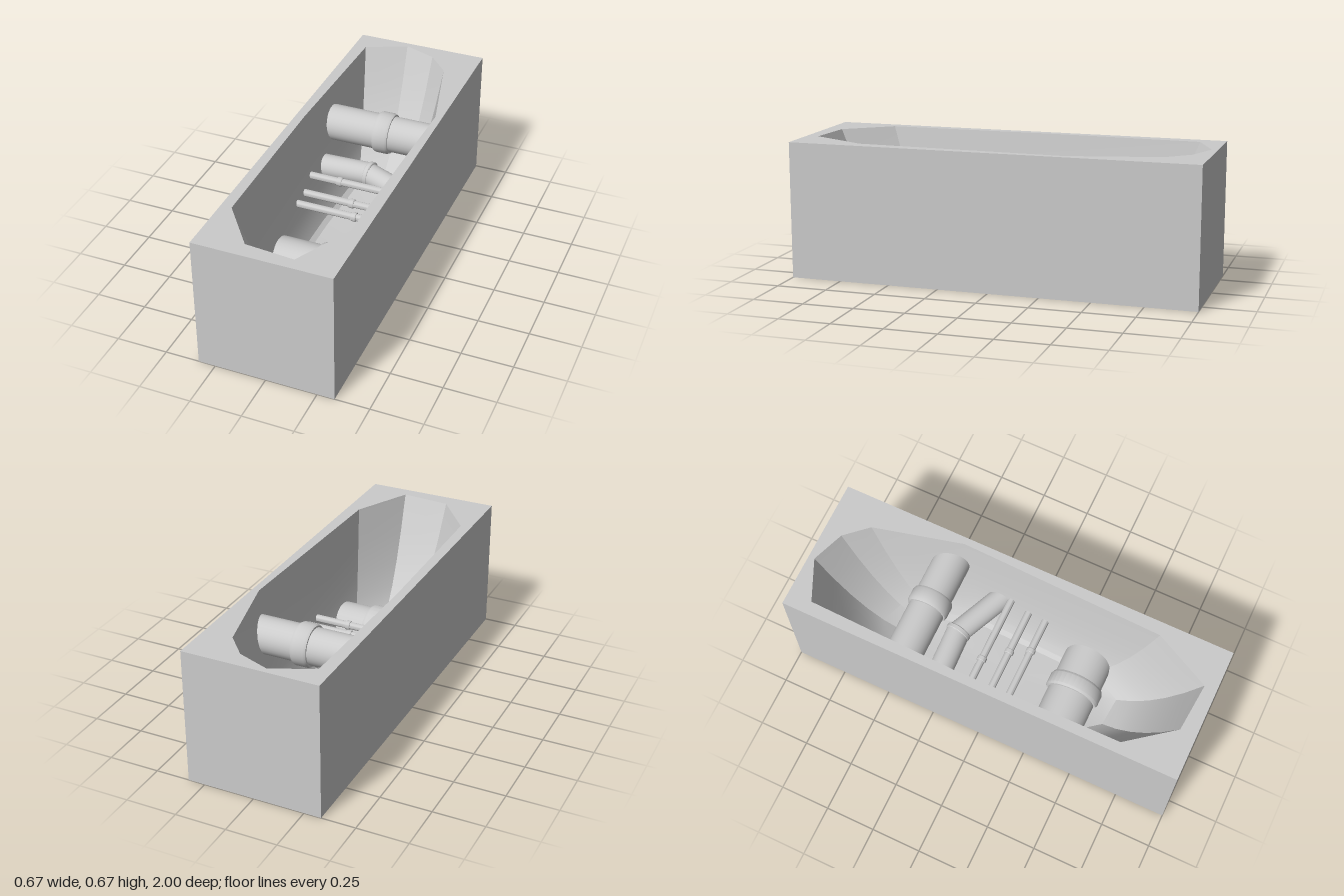
import * as THREE from 'three';
import { toCreasedNormals } from 'three/addons/utils/BufferGeometryUtils.js';

const W = 0.667, H = 0.67, L = 2, FLOOR = 0.1;

// Outline of the pit at ground level as [x, z]
const RIM = [
  [-0.27, -0.88], [-0.07, -0.97], [0.09, -0.91], [0.19, -0.8], [0.3, -0.36],
  [0.27, 0.66], [0.13, 0.94], [-0.11, 0.92], [-0.28, 0.7], [-0.29, -0.12],
];

function material() {
  return new THREE.MeshStandardMaterial({ color: 0xcccccc, side: THREE.DoubleSide });
}

function addMesh(group, name, geometry) {
  const mesh = new THREE.Mesh(geometry, material());
  mesh.name = name;
  group.add(mesh);
  return mesh;
}

// Bowl: the outline shrinks towards the floor while the height falls as a parabola
function pitGeometry() {
  const steps = 6, n = RIM.length, positions = [];
  const point = (i, j) => {
    const t = i / steps, s = 0.52 + 0.48 * t, [x, z] = RIM[j % n];
    return [x * s, FLOOR + (H - FLOOR) * t * t, z * s];
  };
  for (let j = 0; j < n; j++) {
    positions.push(0, FLOOR, 0, ...point(0, j + 1), ...point(0, j));
    for (let i = 0; i < steps; i++) {
      const a = point(i, j), b = point(i, j + 1), c = point(i + 1, j + 1), d = point(i + 1, j);
      positions.push(...a, ...b, ...c, ...a, ...c, ...d);
    }
  }
  const geometry = new THREE.BufferGeometry();
  geometry.setAttribute('position', new THREE.Float32BufferAttribute(positions, 3));
  return toCreasedNormals(geometry, 0.35);
}

// Turned part along x; a half one keeps only its upper side
function turned(profile, half = false) {
  const points = profile.map(([r, x]) => new THREE.Vector2(r, x));
  const lathe = new THREE.LatheGeometry(points, half ? 16 : 32, half ? Math.PI : 0, half ? Math.PI : Math.PI * 2);
  lathe.rotateZ(-Math.PI / 2);
  return toCreasedNormals(lathe, 0.5);
}

const tube = (r, x0, x1, half) => turned([[r, x0], [r, x1]], half);

// Sleeve with bevelled ends around a pipe of radius r
function sleeve(r, width, rise, half) {
  const w = width / 2, b = width * 0.15;
  return turned([[r, -w], [r + rise * 0.6, -w], [r + rise, -w + b], [r + rise, w - b], [r + rise * 0.6, w], [r, w]], half);
}

export function createModel() {
  const model = new THREE.Group();

  // Ground surface with the pit cut out
  const ground = new THREE.Shape();
  ground.moveTo(-W / 2, -L / 2).lineTo(W / 2, -L / 2).lineTo(W / 2, L / 2).lineTo(-W / 2, L / 2).closePath();
  ground.holes.push(new THREE.Path(RIM.map(([x, z]) => new THREE.Vector2(x, -z))));
  const top = new THREE.ShapeGeometry(ground);
  top.rotateX(-Math.PI / 2);
  top.translate(0, H, 0);
  addMesh(model, 'groundSurface', top);

  // Block sides, open underneath
  for (let i = 0; i < 4; i++) {
    const end = i % 2 === 0;
    const side = new THREE.PlaneGeometry(end ? W : L, H);
    side.translate(0, H / 2, end ? L / 2 : W / 2);
    side.rotateY(i * Math.PI / 2);
    addMesh(model, end ? 'endWall' : 'sideWall', side);
  }

  addMesh(model, 'pit', pitGeometry());

  // Large low pipe, only its upper half
  const largePipe = new THREE.Group();
  largePipe.name = 'largePipe';
  largePipe.position.set(0, 0.155, 0.357);
  addMesh(largePipe, 'pipe', tube(0.122, -0.3, 0.3, true));
  addMesh(largePipe, 'sleeve', sleeve(0.122, 0.08, 0.016, true)).position.x = 0.023;
  model.add(largePipe);

  // High pipe at the back
  const highPipe = new THREE.Group();
  highPipe.name = 'highPipe';
  highPipe.position.set(0, 0.48, -0.418);
  addMesh(highPipe, 'pipe', tube(0.09, -0.3, 0.3));
  addMesh(highPipe, 'sleeve', sleeve(0.09, 0.08, 0.014)).position.x = 0.023;
  model.add(highPipe);

  // Bent pipe: two straight runs joined by a ring
  const bentPipe = new THREE.Group();
  bentPipe.name = 'bentPipe';
  bentPipe.position.set(0, 0.32, -0.262);
  addMesh(bentPipe, 'straightRun', tube(0.059, -0.3, 0.005)).rotation.y = 0.04;
  addMesh(bentPipe, 'angledRun', tube(0.056, -0.005, 0.32)).rotation.y = -0.42;
  addMesh(bentPipe, 'jointRing', sleeve(0.056, 0.025, 0.008)).rotation.y = -0.15;
  model.add(bentPipe);

  // Three cables, each with a small joint
  for (const [y, z, joint] of [[0.36, -0.09, -0.09], [0.32, 0.008, 0.013], [0.315, 0.1, 0.062]]) {
    const cable = new THREE.Group();
    cable.name = 'cable';
    cable.position.set(0, y, z);
    addMesh(cable, 'line', tube(0.018, -0.27, 0.27));
    addMesh(cable, 'joint', sleeve(0.018, 0.025, 0.005)).position.x = joint;
    model.add(cable);
  }

  return model;
}
